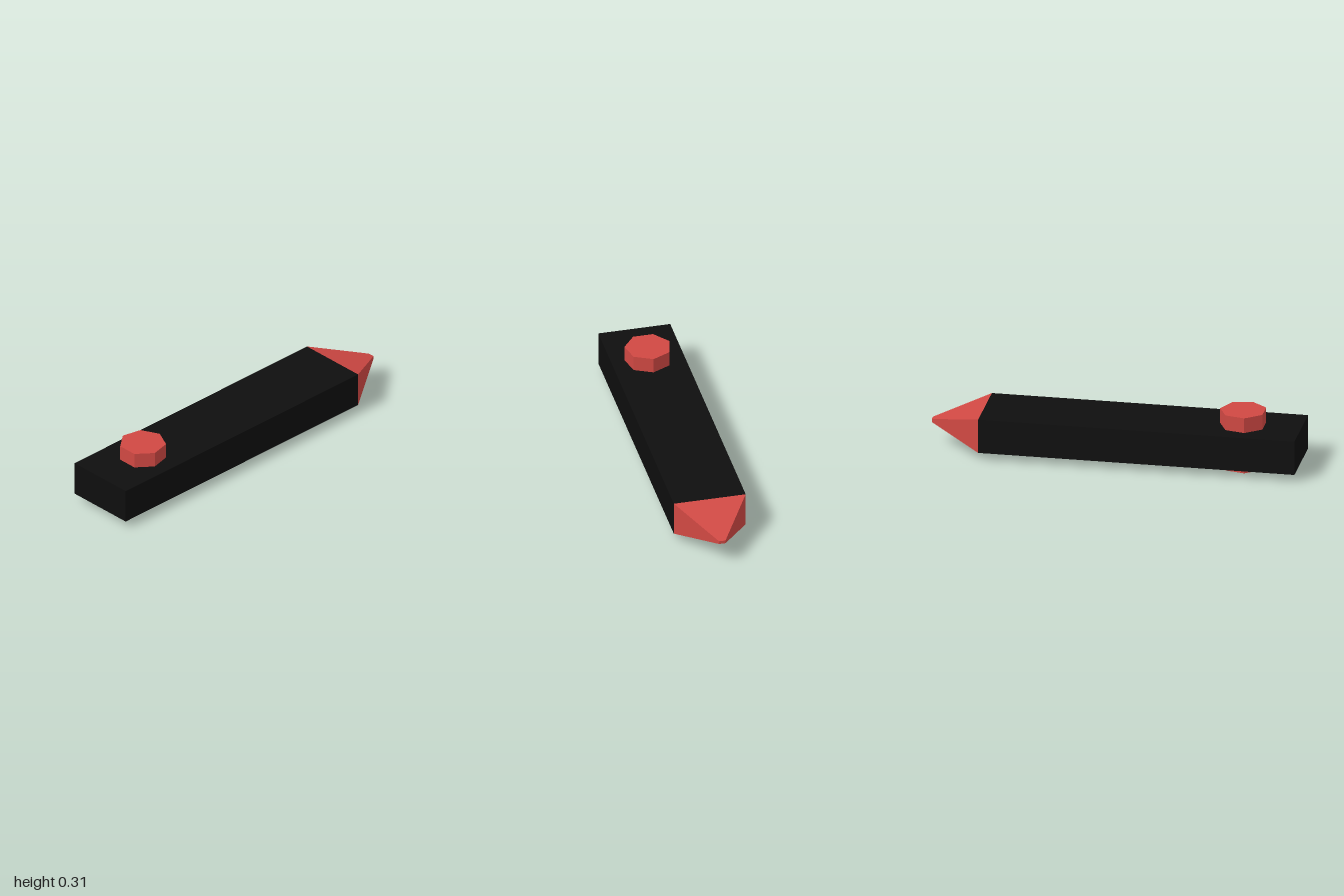
import * as THREE from 'three';

export function createModel() {
  const group = new THREE.Group();
  const black = new THREE.MeshStandardMaterial({ color: 0x0e0e0e });
  black.name = 'black';
  const red = new THREE.MeshStandardMaterial({ color: 0xd04843 });
  red.name = 'red';

  const add = (name, geometry, material, x, y, z) => {
    const mesh = new THREE.Mesh(geometry, material);
    mesh.name = name;
    mesh.position.set(x, y, z);
    group.add(mesh);
    return mesh;
  };

  const width = 0.394, height = 0.19, midY = 0.136;
  const bodyBack = -0.715, tipLength = 0.285;

  // Long flat bar
  add('bar', new THREE.BoxGeometry(width, height, 1 - bodyBack), black, 0, midY, (1 + bodyBack) / 2);

  // Blunt pyramid point: a box whose back face is shrunk
  let point = new THREE.BoxGeometry(width, height, tipLength);
  const pos = point.attributes.position;
  for (let i = 0; i < pos.count; i++) {
    if (pos.getZ(i) < 0) pos.setXY(i, pos.getX(i) * 0.09, pos.getY(i) * 0.09);
  }
  point = point.toNonIndexed();
  point.computeVertexNormals();
  add('point', point, red, 0, midY, bodyBack - tipLength / 2);

  // Seven-sided pin passing through the bar
  const pinHeight = 0.315;
  let pin = new THREE.CylinderGeometry(0.126, 0.126, pinHeight, 7).toNonIndexed();
  pin.computeVertexNormals();
  add('pin', pin, red, 0, pinHeight / 2, 0.686).rotation.y = Math.PI;

  return group;
}
